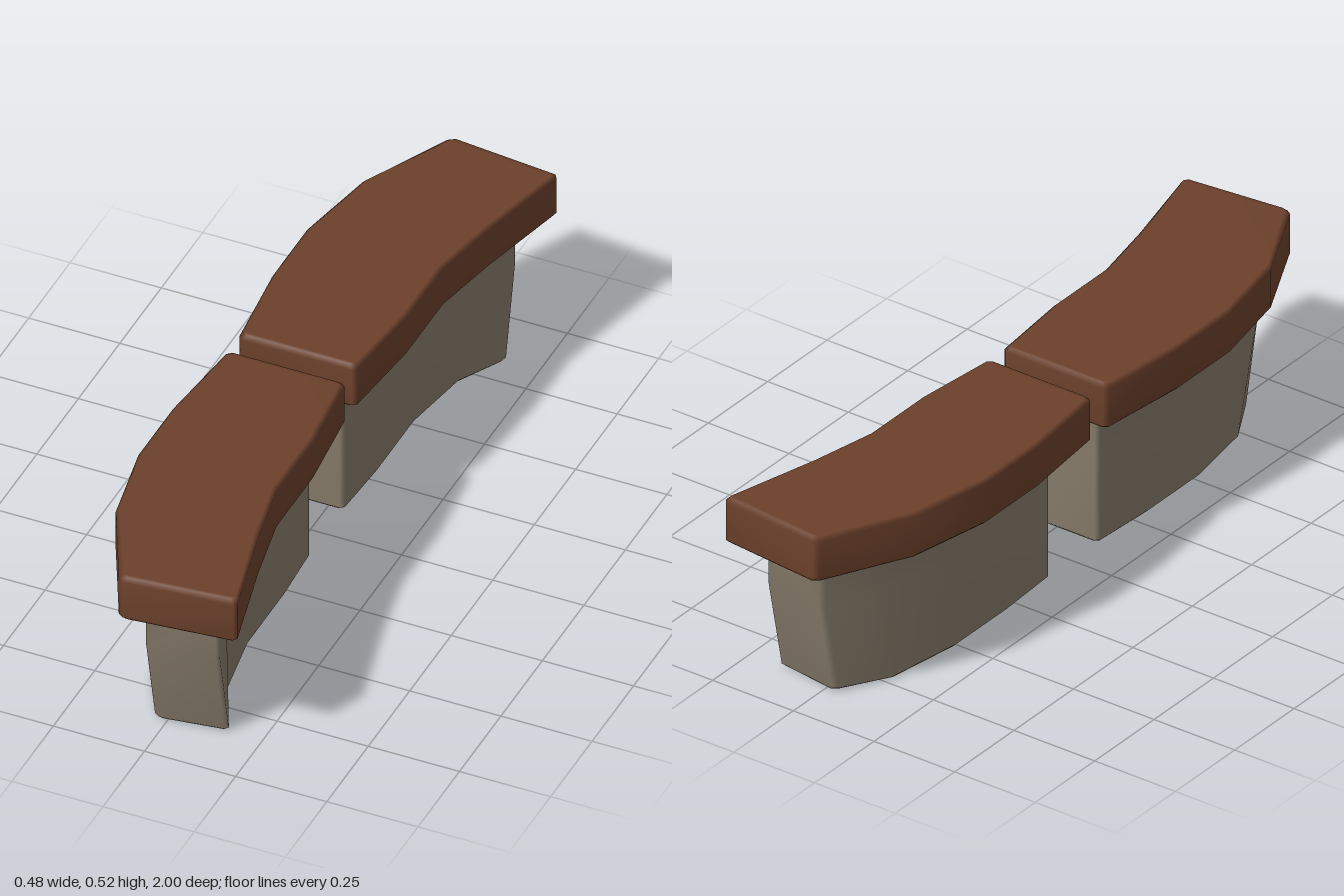
import * as THREE from 'three';

const seatMaterial = new THREE.MeshStandardMaterial({ color: 0x6b402b });
seatMaterial.name = 'brown seat';
const baseMaterial = new THREE.MeshStandardMaterial({ color: 0x857a69 });
baseMaterial.name = 'grey stone';

const BEVEL = 0.01;

// Plan rows from the inner to the outer end: [left x, left z, right x, right z]
const seatPlan = [
  [-0.212, 0.03, 0.11, 0.03],
  [-0.24, 0.3, 0.135, 0.28],
  [-0.24, 0.51, 0.135, 0.5],
  [-0.195, 0.745, 0.172, 0.69],
  [-0.07, 1.0, 0.24, 0.972],
];
const basePlan = [
  [-0.134, 0.1, 0.045, 0.1],
  [-0.145, 0.3, 0.055, 0.28],
  [-0.145, 0.51, 0.055, 0.5],
  [-0.112, 0.72, 0.088, 0.7],
  [-0.032, 0.922, 0.16, 0.9],
];

// Rings from bottom to top: y, inset from the plan, shift of the outer end
const seatRings = [
  { y: 0.392, inset: BEVEL }, { y: 0.402, inset: 0 },
  { y: 0.512, inset: 0 }, { y: 0.522, inset: BEVEL },
];
const baseRings = [
  { y: 0, inset: BEVEL, shift: -0.055 }, { y: 0.01, inset: 0, shift: -0.055 },
  { y: 0.27, inset: 0 }, { y: 0.385, inset: 0 }, { y: 0.396, inset: -0.013 },
];

// Clip the four plan corners by adding a row just inside each end
function clipCorners(plan) {
  const step = (from, to) => {
    const t = BEVEL / Math.abs(to[1] - from[1]);
    return from.map((v, i) => v + (to[i] - v) * t);
  };
  const narrow = ([xl, zl, xr, zr]) => [xl + BEVEL, zl, xr - BEVEL, zr];
  const last = plan.length - 1;
  return [
    narrow(plan[0]), step(plan[0], plan[1]),
    ...plan.slice(1, last),
    step(plan[last], plan[last - 1]), narrow(plan[last]),
  ];
}

// Stack closed rings of the plan into a solid, mirrored along z by side
function curvedBlock(plan, rings, side) {
  const rows = clipCorners(plan);
  const n = rows.length;
  const count = n * 2;
  const positions = [];
  const index = [];
  for (const { y, inset, shift = 0 } of rings) {
    const ring = rows.map(([xl, zl, xr, zr], i) => {
      const outer = i >= n - 2;
      const dz = i < 2 ? inset : outer ? shift - inset : 0;
      return [xl + inset, zl + dz, xr - inset, zr + dz];
    });
    ring.forEach(([x, z]) => positions.push(x, y, z * side));
    ring.reverse().forEach(([, , x, z]) => positions.push(x, y, z * side));
  }
  const quad = (a, b, c, d) => {
    if (side > 0) index.push(a, b, c, a, c, d);
    else index.push(a, c, b, a, d, c);
  };
  // Side walls
  for (let r = 0; r < rings.length - 1; r++) {
    for (let i = 0; i < count; i++) {
      const j = (i + 1) % count;
      const low = r * count;
      quad(low + i, low + j, low + count + j, low + count + i);
    }
  }
  // Flat top and underside
  const top = (rings.length - 1) * count;
  for (let i = 0; i < n - 1; i++) {
    const right = count - 1 - i;
    quad(top + i, top + i + 1, top + right - 1, top + right);
    quad(right, right - 1, i + 1, i);
  }
  const geometry = new THREE.BufferGeometry();
  geometry.setAttribute('position', new THREE.Float32BufferAttribute(positions, 3));
  geometry.setIndex(index);
  geometry.computeVertexNormals();
  return geometry;
}

export function createModel() {
  const model = new THREE.Group();
  model.name = 'curvedBenches';
  for (const side of [1, -1]) {
    const bench = new THREE.Group();
    bench.name = side > 0 ? 'frontBench' : 'backBench';
    const seat = new THREE.Mesh(curvedBlock(seatPlan, seatRings, side), seatMaterial);
    seat.name = 'seat';
    const base = new THREE.Mesh(curvedBlock(basePlan, baseRings, side), baseMaterial);
    base.name = 'base';
    bench.add(seat, base);
    model.add(bench);
  }
  return model;
}
